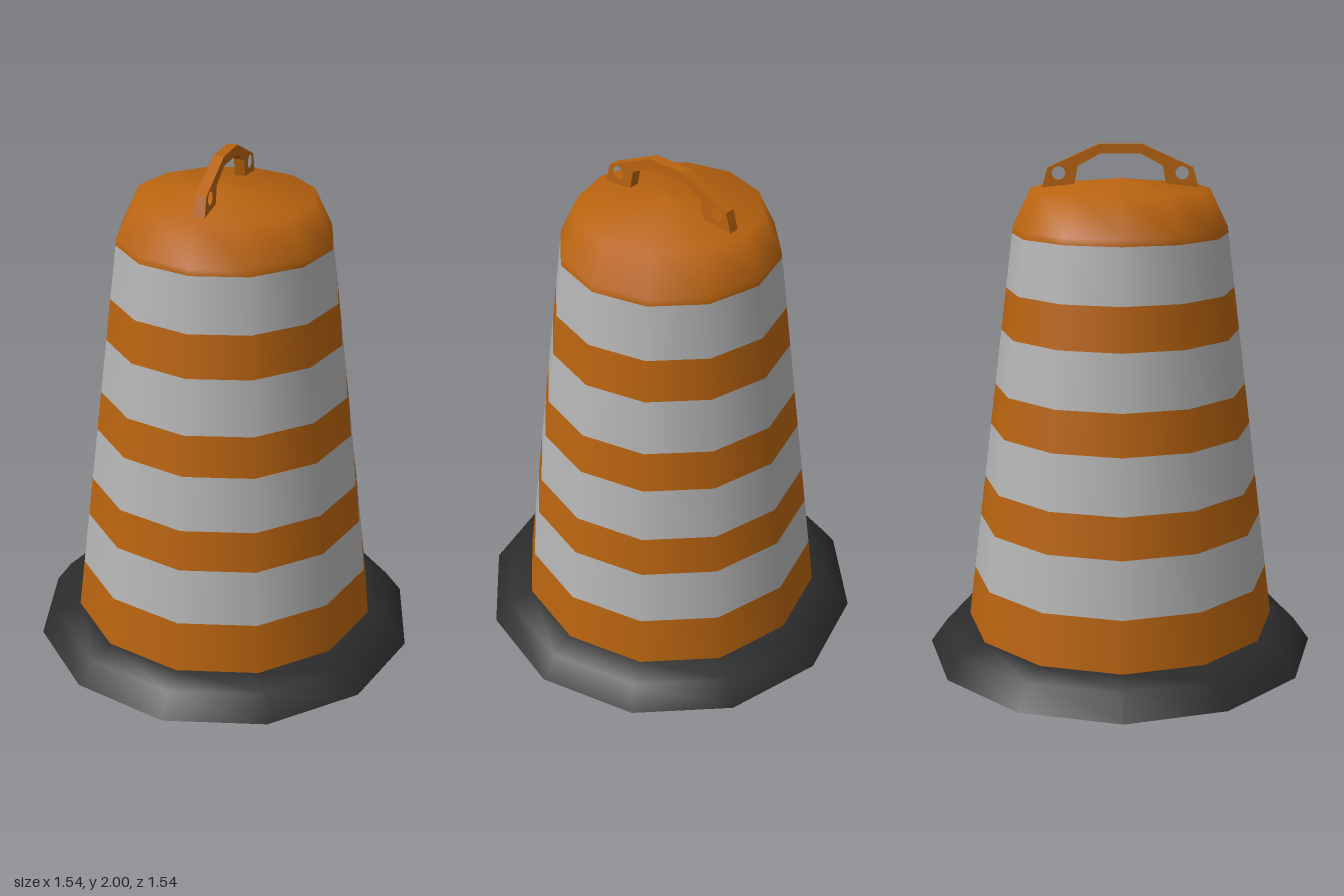
import * as THREE from 'three';

const SIDES = 12;

function flat(name, color) {
  const m = new THREE.MeshStandardMaterial({ color });
  m.name = name;
  return m;
}

// Twelve-sided surface of revolution from [radius, height] pairs, bottom to top
function lathe(points) {
  return new THREE.LatheGeometry(points.map(([r, y]) => new THREE.Vector2(r, y)), SIDES);
}

export function createModel() {
  const group = new THREE.Group();
  group.name = 'trafficDrum';
  const orange = flat('orange plastic', 0xb8630f);
  const grey = flat('reflective grey', 0xb4b4b4);
  const black = flat('black rubber', 0x2b2b2b);

  function add(name, geometry, material) {
    const mesh = new THREE.Mesh(geometry, material);
    mesh.name = name;
    group.add(mesh);
    return mesh;
  }

  // Rubber base ring with a closed underside
  add('base', lathe([[0.77, 0], [0.705, 0.09], [0.61, 0.12], [0.56, 0.122]]), black);
  const under = new THREE.CircleGeometry(0.77, SIDES);
  under.rotateX(Math.PI / 2);
  add('baseUnderside', under, black);

  // Tapered body in alternating bands
  const radiusAt = (y) => 0.61 - 0.2 * (y - 0.12) / 1.57;
  const edges = [0.115, 0.32, 0.54, 0.7, 0.915, 1.075, 1.29, 1.455, 1.665];
  for (let i = 0; i < edges.length - 1; i++) {
    const [a, b] = [edges[i], edges[i + 1]];
    const isOrange = i % 2 === 0;
    add(isOrange ? 'orangeBand' : 'reflectiveBand',
      lathe([[radiusAt(a), a], [radiusAt(b), b]]), isOrange ? orange : grey);
  }

  // Rounded shoulder and shallow conical lid
  add('lid', lathe([[radiusAt(1.665), 1.665], [0.41, 1.69], [0.34, 1.835], [0, 1.872]]), orange);

  // Carrying handle: arched plate with a hole in each foot
  const half = [[0.08, 2], [0.275, 1.912], [0.298, 1.832], [0.178, 1.832], [0.16, 1.92], [0.075, 1.965]];
  const outline = [...half, ...half.map(([x, y]) => [-x, y]).reverse()];
  const shape = new THREE.Shape(outline.map(([x, y]) => new THREE.Vector2(x, y)));
  for (const s of [-1, 1]) {
    const hole = new THREE.Path();
    hole.absarc(s * 0.233, 1.893, 0.025, 0, Math.PI * 2, true);
    shape.holes.push(hole);
  }
  const handle = new THREE.ExtrudeGeometry(shape, { depth: 0.04, bevelEnabled: false, curveSegments: 10 });
  handle.translate(0, 0, -0.02);
  handle.rotateY(-Math.PI / 2);
  add('handle', handle, orange);

  return group;
}
